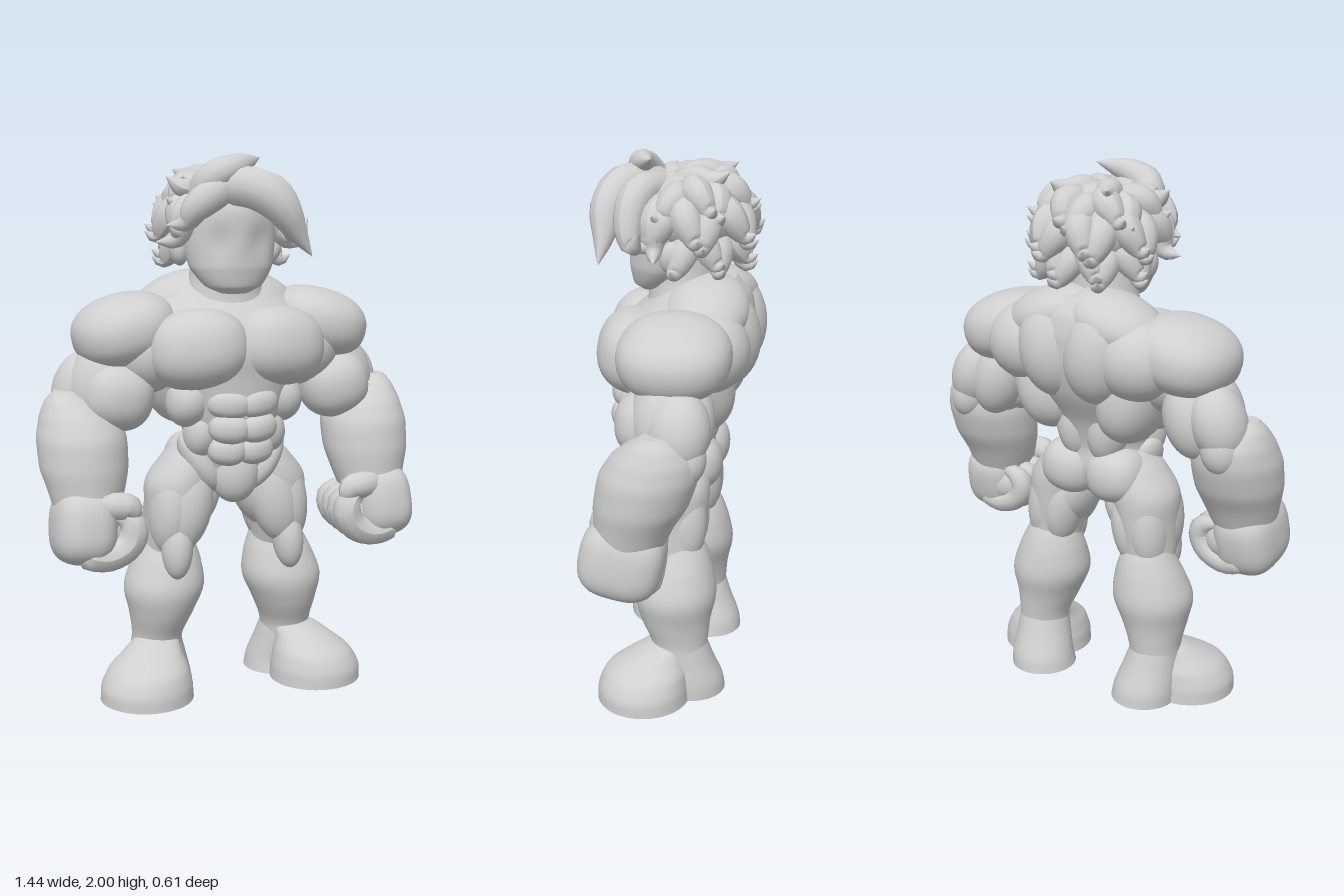
import * as THREE from 'three';

const clay = new THREE.MeshStandardMaterial({ color: 0xcfcfcf });
clay.name = 'grey clay';

// Smooth closed loft through horizontal ellipses [x, y, z, rx, rz], listed bottom to top.
function loft(rings, s = 1, sides = 36, sub = 5) {
  const centre = new THREE.CatmullRomCurve3(rings.map(r => new THREE.Vector3(r[0] * s, r[1], r[2])));
  const radius = new THREE.CatmullRomCurve3(rings.map(r => new THREE.Vector3(r[3], r[4], 0)));
  const n = (rings.length - 1) * sub, pos = [], idx = [];
  const ring = (t) => {
    const c = centre.getPoint(t), r = radius.getPoint(t);
    for (let j = 0; j < sides; j++) {
      const a = j / sides * Math.PI * 2;
      pos.push(c.x + Math.cos(a) * r.x, c.y, c.z + Math.sin(a) * r.y);
    }
    return c;
  };
  for (let i = 0; i <= n; i++) ring(i / n);
  for (let i = 0; i < n; i++) for (let j = 0; j < sides; j++) {
    const k = (j + 1) % sides, a = i * sides + j, b = i * sides + k;
    idx.push(a, a + sides, b, b, a + sides, b + sides);
  }
  // flat ends with their own vertices keep a crisp edge
  for (const t of [0, 1]) {
    const first = pos.length / 3, c = ring(t), mid = first + sides;
    pos.push(c.x, c.y, c.z);
    for (let j = 0; j < sides; j++) {
      const a = first + j, b = first + (j + 1) % sides;
      if (t) idx.push(mid, b, a); else idx.push(mid, a, b);
    }
  }
  const g = new THREE.BufferGeometry();
  g.setAttribute('position', new THREE.Float32BufferAttribute(pos, 3));
  g.setIndex(idx);
  g.computeVertexNormals();
  return g;
}

// Round tube along points whose radius follows profile(t).
function taper(points, profile, seg = 16, sides = 12) {
  const curve = new THREE.CatmullRomCurve3(points.map(p => new THREE.Vector3(...p)));
  const g = new THREE.TubeGeometry(curve, seg, 1, sides), p = g.attributes.position;
  const v = new THREE.Vector3();
  for (let i = 0; i <= seg; i++) {
    const c = curve.getPointAt(i / seg), r = Math.max(profile(i / seg), 0.0005);
    for (let j = 0; j <= sides; j++) {
      const k = i * (sides + 1) + j;
      v.fromBufferAttribute(p, k).sub(c).multiplyScalar(r).add(c);
      p.setXYZ(k, v.x, v.y, v.z);
    }
  }
  g.computeVertexNormals();
  return g;
}

// Unit ball swelled toward a cube: fuller muscles as e drops below 1.
function swollenBall(e) {
  const g = new THREE.SphereGeometry(1, 36, 24), p = g.attributes.position, n = g.attributes.normal;
  const pow = (v, k) => Math.sign(v) * Math.pow(Math.abs(v), k);
  for (let i = 0; i < p.count; i++) {
    const d = [p.getX(i), p.getY(i), p.getZ(i)];
    p.setXYZ(i, ...d.map(v => pow(v, e)));
    n.setXYZ(i, ...d.map(v => pow(v, 2 - e)));
  }
  g.normalizeNormals();
  return g;
}
const ball = swollenBall(1), full = swollenBall(0.88), blocky = swollenBall(0.7);

export function createModel() {
  const model = new THREE.Group();
  model.name = 'muscularFigure';
  const add = (name, geo, parent = model) => {
    const m = new THREE.Mesh(geo, clay);
    m.name = name;
    parent.add(m);
    return m;
  };
  const muscle = (name, c, r, rot = [0, 0, 0], geo = ball, s = 1, parent = model) => {
    const m = add(name, geo, parent);
    m.position.set(c[0] * s, c[1], c[2]);
    m.scale.set(...r);
    m.rotation.set(rot[0], rot[1] * s, rot[2] * s);
  };

  // Trunk, neck and lower belly
  add('torso', loft([[0, .73, .04, .03, .05], [0, .8, .02, .12, .12], [0, .88, .01, .185, .145], [0, .97, .035, .168, .165],
    [0, 1.08, .03, .21, .195], [0, 1.2, .0, .275, .235], [0, 1.32, -.015, .32, .255], [0, 1.42, -.05, .3, .225],
    [0, 1.5, -.085, .24, .17], [0, 1.56, -.09, .13, .115]]));
  add('neck', loft([[0, 1.4, -.02, .2, .16], [0, 1.48, -.02, .155, .135], [0, 1.56, -.01, .13, .12], [0, 1.66, 0, .12, .12]]));
  muscle('lowerBelly', [0, .855, .085], [.1, .13, .085], [-.25, 0, 0]);

  // Head with shallow eye sockets
  const head = loft([[0, 1.505, .1, .05, .04], [0, 1.53, .09, .105, .078], [0, 1.6, .06, .155, .122], [0, 1.7, .035, .172, .15],
    [0, 1.8, .0, .178, .18], [0, 1.88, -.02, .14, .15], [0, 1.93, -.03, .05, .06]], 1, 64, 8);
  const hp = head.attributes.position;
  for (let i = 0; i < hp.count; i++) {
    const x = Math.abs(hp.getX(i)) - .075, y = hp.getY(i) - 1.69;
    if (hp.getZ(i) > .05) hp.setZ(i, hp.getZ(i) - .014 * Math.exp(-(x * x) / .002 - (y * y) / .0035));
  }
  head.computeVertexNormals();
  add('head', head);

  for (const s of [1, -1]) {
    const side = new THREE.Group();
    side.name = s > 0 ? 'leftSide' : 'rightSide';
    model.add(side);
    const m = (name, c, r, rot, geo) => muscle(name, c, r, rot, geo, s, side);
    const l = (name, rings) => add(name, loft(rings, s), side);
    const tube = (name, pts, f) => add(name, taper(pts.map(p => [p[0] * s, p[1], p[2]]), f), side);

    m('ear', [.18, 1.66, 0], [.035, .06, .045], [0, .3, -.15]);

    // Chest, belly and flank
    m('pectoral', [.148, 1.308, .125], [.186, .147, .152], [-.22, .22, -.05], full);
    m('armpit', [.3, 1.29, -.01], [.14, .15, .17]);
    [[1.115, .082, .195], [1.025, .076, .2], [.94, .07, .175]].forEach(([y, r, z]) =>
      m('abdominal', [.054, y, z - .005], [r, .055, .056], [0, .25, .1], full));
    m('upperOblique', [.17, 1.12, .09], [.085, .1, .105], [0, .3, .35]);
    m('lowerOblique', [.12, 1.0, .085], [.07, .1, .095], [0, .3, .2]);
    m('hipCrest', [.12, .88, .06], [.06, .13, .09], [0, .2, -.55]);

    // Back
    m('trapezius', [.13, 1.465, -.115], [.2, .105, .155], [0, 0, -.3]);
    m('upperBack', [.1, 1.365, -.145], [.145, .2, .162], [.12, 0, -.12]);
    m('shoulderBlade', [.235, 1.35, -.135], [.16, .15, .15], [0, .2, 0]);
    m('lat', [.19, 1.2, -.07], [.12, .19, .155], [.15, 0, -.3], full);
    m('lowerBack', [.07, 1.07, -.06], [.085, .16, .1], [.15, 0, -.1]);
    m('glute', [.1, .87, -.065], [.115, .105, .11], [0, 0, .15], full);

    // Upper arm
    m('deltoid', [.375, 1.37, -.04], [.193, .132, .2], [0, 0, -.24], full);
    m('upperArmCore', [.46, 1.17, -.03], [.135, .18, .13], [0, 0, .3]);
    m('biceps', [.425, 1.14, .03], [.132, .125, .128], [0, 0, .2], full);
    m('triceps', [.535, 1.16, -.08], [.1, .14, .11], [0, 0, .35]);
    m('innerTriceps', [.43, 1.16, -.09], [.1, .15, .1], [0, 0, .25]);
    m('elbow', [.56, 1.07, -.11], [.07, .09, .07], [0, 0, .2]);

    // Forearm and fist
    l('forearm', [[.56, .72, .095, .11, .12], [.555, .82, .07, .14, .142], [.556, .9, .045, .16, .165], [.557, .99, .022, .163, .172],
      [.565, 1.07, .0, .14, .15], [.59, 1.13, -.01, .09, .095], [.61, 1.165, -.01, .04, .045]]);
    m('palm', [.58, .69, .11], [.115, .14, .15], [-.2, 0, .08], blocky);
    m('fistCore', [.52, .67, .095], [.12, .1, .12]);
    [.2, .14, .08, .02].forEach((z, i) => tube('finger',
      [[.61, .64, z], [.58, .605, z], [.51, .592, z], [.435, .63, z], [.415, .69, z], [.45, .73, z - .01], [.5, .73, z - .01]],
      t => (.053 - i * .003) * Math.sqrt(Math.min(1, 8 * t, 4 * (1 - t)))));
    tube('thumb', [[.58, .78, .13], [.5, .775, .19], [.43, .765, .2], [.41, .71, .2]], t => .05 * Math.sqrt(Math.min(1, 3.5 * (1 - t))));

    // Thigh
    l('thigh', [[.22, .5, -.03, .095, .09], [.212, .6, -.01, .1, .115], [.198, .7, 0, .113, .135], [.185, .8, 0, .125, .14],
      [.15, .9, 0, .09, .12], [.13, .96, 0, .04, .06]]);
    m('outerQuad', [.225, .71, .035], [.085, .18, .11], [-.05, 0, .1]);
    m('frontQuad', [.17, .73, .065], [.095, .18, .09], [-.1, 0, .2]);
    m('kneeMuscle', [.22, .57, .09], [.058, .12, .07], [-.15, 0, .05]);
    m('innerThigh', [.11, .74, .0], [.075, .14, .11], [0, 0, .35]);
    m('hamstring', [.23, .68, -.05], [.075, .17, .085], [0, 0, .1]);
    m('innerHamstring', [.155, .68, -.05], [.07, .16, .085], [0, 0, .15]);

    // Lower leg and foot
    l('calf', [[.265, .12, -.04, .095, .1], [.262, .2, -.04, .095, .105], [.25, .3, -.023, .122, .132], [.238, .4, -.022, .152, .152],
      [.226, .5, -.03, .13, .128], [.22, .57, -.035, .1, .1], [.22, .63, -.03, .07, .07]]);
    l('heel', [[.24, 0, -.08, .125, .13], [.245, .05, -.08, .12, .122], [.255, .13, -.06, .105, .11], [.265, .22, -.04, .088, .1]]);
    l('toeBox', [[.34, 0, .085, .175, .173], [.34, .05, .085, .172, .17], [.33, .11, .075, .15, .153],
      [.31, .155, .05, .115, .115], [.285, .195, .015, .085, .075], [.275, .215, .0, .05, .045]]);
  }

  // Hair: cap, rows of flicked locks, then a swept fringe
  muscle('hairCap', [0, 1.79, -.05], [.212, .15, .185]);
  const lock = (w, ...pts) => add('hairLock', taper(pts, t => w * (1 - t) * (.75 + 2 * t)));
  const row = (count, from, to, w, [r0, y0], [r1, y1], [r2, y2]) => {
    for (let i = 0; i < count; i++) {
      const a = THREE.MathUtils.degToRad(from + (to - from) * i / (count - 1)), b = a + (i % 2 ? .18 : -.18);
      const at = (r, y, q) => [Math.cos(q) * r, y, -.03 - Math.sin(q) * r];
      const dy = i % 2 ? .025 : 0;
      lock(w, at(r0, y0, a), at(r1, y1 + dy, a), at(r1 * .4 + r2 * .6, y2 - .02 + dy, b), at(r2, y2 + dy, b));
    }
  };
  row(9, 5, 175, .056, [.1, 1.75], [.165, 1.69], [.26, 1.63]);
  row(10, -20, 200, .06, [.11, 1.84], [.185, 1.79], [.285, 1.72]);
  row(8, -10, 190, .06, [.05, 1.86], [.15, 1.86], [.26, 1.82]);
  lock(.055, [-.02, 1.87, .02], [-.06, 1.91, -.06], [-.1, 1.915, -.13], [-.14, 1.94, -.19]);
  lock(.055, [.02, 1.87, .02], [.05, 1.91, -.06], [.08, 1.915, -.13], [.1, 1.95, -.19]);
  lock(.06, [-.13, 1.84, .08], [-.1, 1.91, .13], [-.02, 1.95, .14], [.1, 1.985, .09]);
  lock(.078, [-.06, 1.87, .08], [.04, 1.88, .19], [.12, 1.82, .235], [.18, 1.73, .24], [.24, 1.64, .25]);
  lock(.065, [.02, 1.88, .06], [.13, 1.87, .13], [.2, 1.76, .15], [.23, 1.7, .13], [.285, 1.77, .1]);
  lock(.06, [.06, 1.84, .02], [.17, 1.8, .06], [.21, 1.69, .06], [.275, 1.66, .05]);
  lock(.065, [0, 1.88, .08], [-.08, 1.87, .14], [-.16, 1.81, .14], [-.19, 1.76, .12], [-.26, 1.75, .1]);
  lock(.06, [-.06, 1.84, .04], [-.17, 1.8, .08], [-.21, 1.7, .07], [-.285, 1.69, .06]);
  lock(.05, [-.06, 1.86, .02], [-.14, 1.89, .05], [-.18, 1.88, .06], [-.24, 1.92, .05]);
  return model;
}
